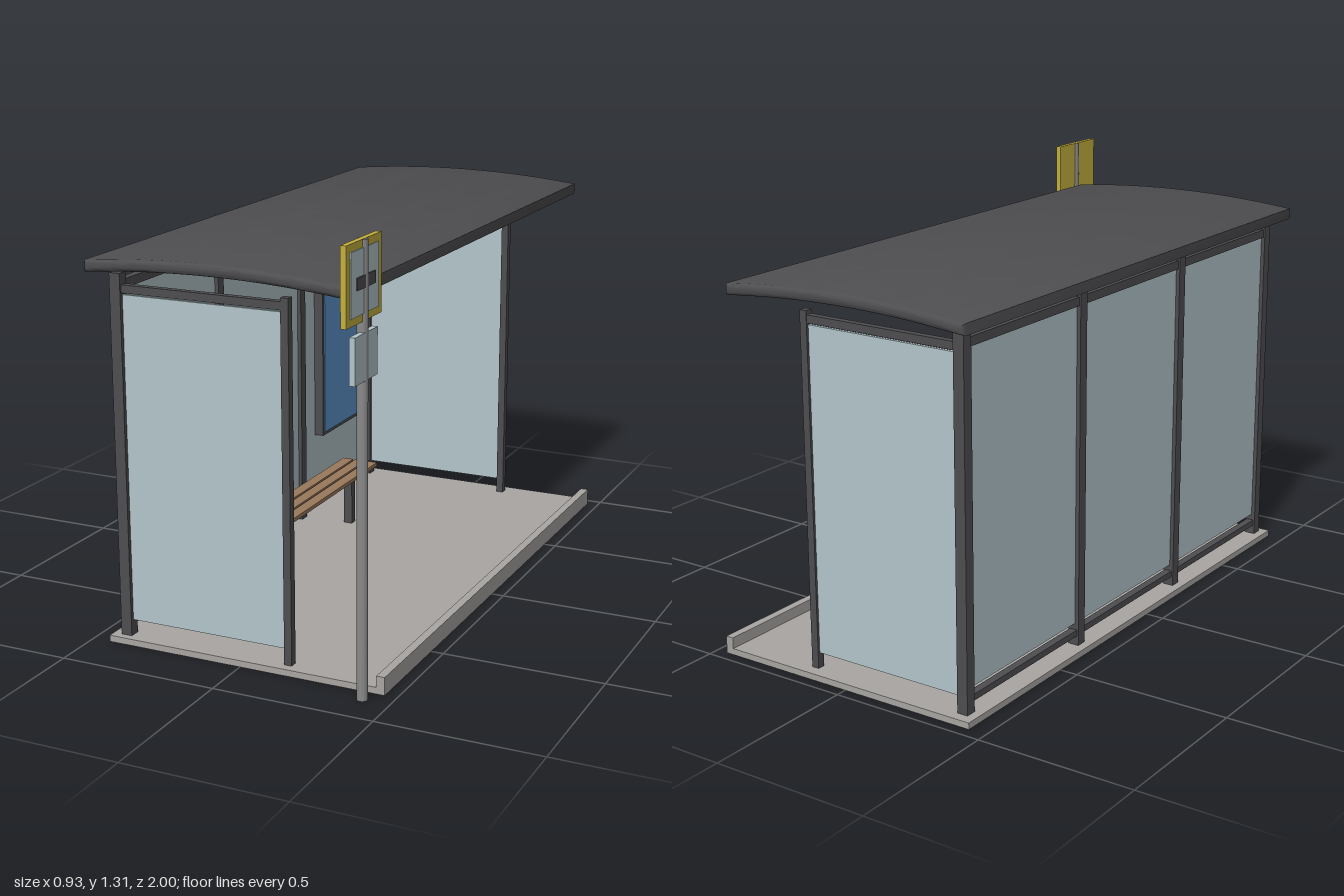
import * as THREE from 'three';
import { toCreasedNormals } from 'three/addons/utils/BufferGeometryUtils.js';

const mat = (name, color) => {
  const m = new THREE.MeshStandardMaterial({ color });
  m.name = name;
  return m;
};

export function createModel() {
  const frame = mat('dark frame', 0x4e4d50);
  const concrete = mat('concrete', 0xa9a6a3);
  const glass = mat('pale glass', 0xb3c6cb);
  const wood = mat('bench wood', 0x9a7a5c);
  const blue = mat('poster blue', 0x5f96cf);
  const yellow = mat('sign yellow', 0xc6b03f);
  const steel = mat('pole grey', 0x8b8a8a);

  const model = new THREE.Group();
  model.name = 'busShelter';

  // Box given by its limits on each axis
  const box = (name, material, [x0, x1], [y0, y1], [z0, z1], parent = model) => {
    const mesh = new THREE.Mesh(new THREE.BoxGeometry(x1 - x0, y1 - y0, z1 - z0), material);
    mesh.position.set((x0 + x1) / 2, (y0 + y1) / 2, (z0 + z1) / 2);
    mesh.name = name;
    parent.add(mesh);
    return mesh;
  };
  const around = (c, w) => [c - w / 2, c + w / 2];
  const group = (name) => {
    const g = new THREE.Group();
    g.name = name;
    model.add(g);
    return g;
  };

  // Ground slab and curb
  box('slab', concrete, [-0.443, 0.436], [0, 0.02], [-0.965, 0.838]);
  box('curb', concrete, [0.436, 0.462], [0, 0.055], [-0.965, 0.838]);

  // Back wall: four posts, two rails, three glass panes
  const wall = group('backWall');
  const postZ = [0.797, 0.226, -0.344, -0.915];
  postZ.forEach((z) => box('backPost', frame, [-0.415, -0.38], [0.005, 1.13], around(z, 0.035), wall));
  for (let i = 0; i < 3; i++) {
    const span = [postZ[i + 1] + 0.0175, postZ[i] - 0.0175];
    box('topRail', frame, around(-0.3975, 0.025), [1.08, 1.107], span, wall);
    box('bottomRail', frame, around(-0.3975, 0.025), [0.05, 0.07], span, wall);
    box('backGlass', glass, around(-0.3975, 0.01), [0.09, 1.08], span, wall);
  }

  // Side walls at both ends
  for (const z of [postZ[0], postZ[3]]) {
    const side = group('sideWall');
    box('frontPost', frame, [0.131, 0.155], [0.005, 1.108], around(z, 0.025), side);
    box('sideRail', frame, [-0.38, 0.131], [1.072, 1.096], around(z, 0.022), side);
    box('sideGlass', glass, [-0.38, 0.131], [0.068, 1.066], around(z, 0.01), side);
  }

  // Arched roof with softened ends
  const bevel = 0.012;
  const arc = (x) => 1.193 - 0.135 * (x + 0.065) ** 2;
  const profile = [];
  const steps = 20;
  const x0 = -0.465 + bevel, x1 = 0.368 - bevel;
  for (let i = 0; i <= steps; i++) {
    const x = x0 + ((x1 - x0) * i) / steps;
    profile.push(new THREE.Vector2(x, arc(x) - 0.035 + bevel));
  }
  for (let i = steps; i >= 0; i--) {
    const x = x0 + ((x1 - x0) * i) / steps;
    profile.push(new THREE.Vector2(x, arc(x) - bevel));
  }
  const roofGeo = new THREE.ExtrudeGeometry(new THREE.Shape(profile), {
    depth: 1.87 - 2 * bevel, bevelEnabled: true, bevelSize: bevel, bevelThickness: bevel, bevelSegments: 3,
  });
  const roof = new THREE.Mesh(toCreasedNormals(roofGeo, 0.6), frame);
  roof.position.z = -1 + bevel;
  roof.name = 'roof';
  model.add(roof);

  // Slatted bench on two legs
  const bench = group('bench');
  for (let i = -1; i <= 1; i++) {
    box('slat', wood, around(-0.22 + i * 0.046, 0.038), [0.208, 0.221], [-0.465, 0.527], bench);
  }
  for (const z of [0.436, -0.376]) {
    box('benchLeg', frame, around(-0.22, 0.03), [0.005, 0.2], around(z, 0.026), bench);
    box('benchBracket', frame, around(-0.22, 0.12), [0.198, 0.208], around(z, 0.026), bench);
  }

  // Framed panels on the back wall: [name, frame y, frame z, poster y, poster z]
  const panels = [
    ['timetable', [0.568, 0.88], [0.325, 0.552], [0.635, 0.868], [0.337, 0.54]],
    ['poster', [0.295, 1.018], [-0.815, -0.455], [0.307, 1.006], [-0.803, -0.467]],
  ];
  for (const [name, fy, fz, py, pz] of panels) {
    const panel = group(name);
    box(name + 'Frame', frame, [-0.392, -0.36], fy, fz, panel);
    box(name + 'Face', blue, [-0.361, -0.357], py, pz, panel);
  }

  // Stop sign on its pole
  const sign = group('stopSign');
  const pole = new THREE.Mesh(new THREE.CylinderGeometry(0.016, 0.016, 1.31, 20), steel);
  pole.position.set(0.415, 0.655, 0.886);
  pole.name = 'pole';
  sign.add(pole);
  box('signBoard', yellow, [0.405, 0.422], [1.09, 1.311], [0.78, 1], sign);
  box('signFace', glass, [0.421, 0.425], [1.112, 1.289], [0.802, 0.978], sign);
  box('signSymbol', frame, [0.424, 0.429], [1.182, 1.216], [0.83, 0.945], sign);
  box('infoPlate', glass, [0.412, 0.429], [0.928, 1.06], [0.818, 0.962], sign);

  return model;
}
